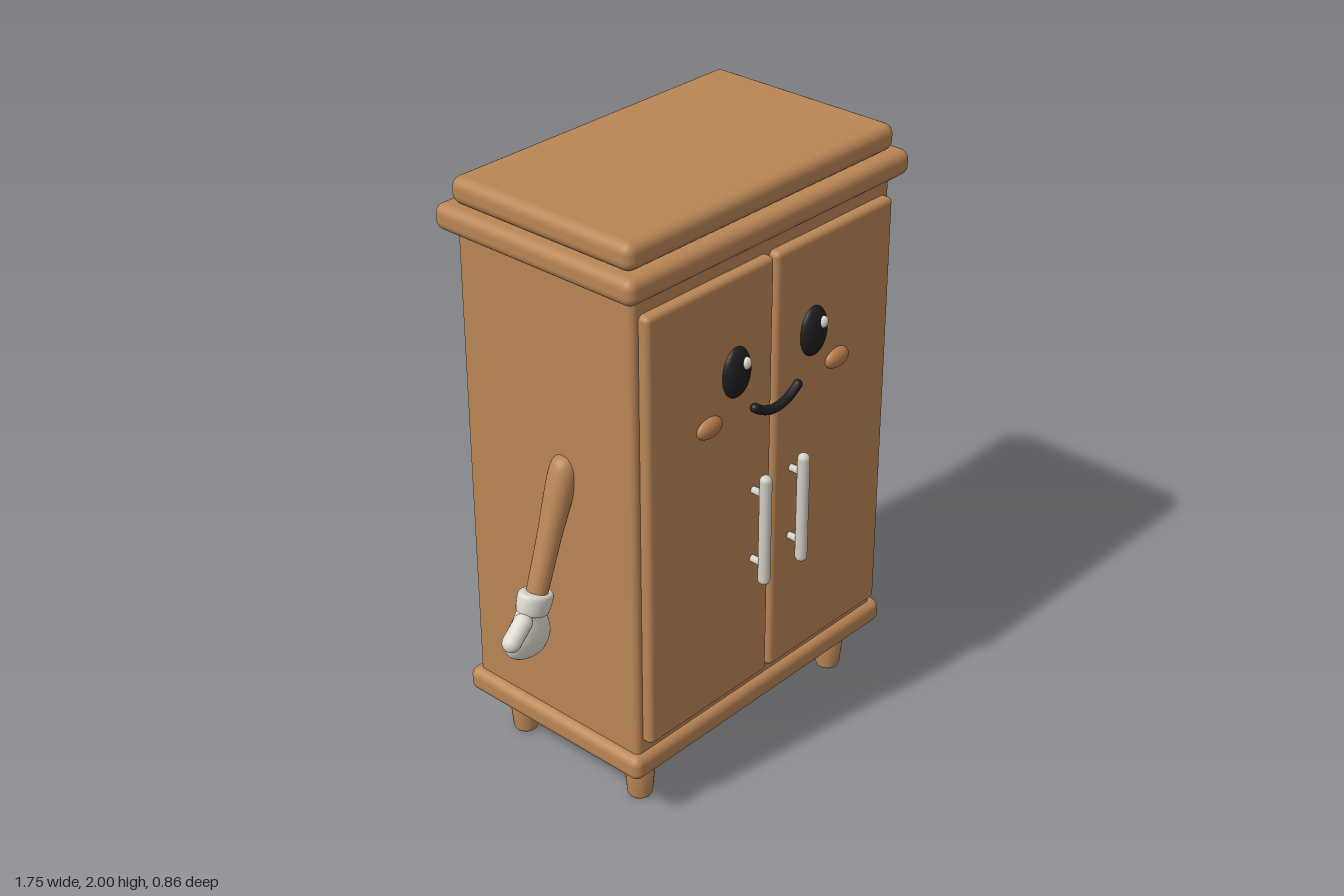
import * as THREE from 'three';
import { RoundedBoxGeometry } from 'three/addons/geometries/RoundedBoxGeometry.js';

function material(name, color) {
  const m = new THREE.MeshStandardMaterial({ color });
  m.name = name;
  return m;
}

export function createModel() {
  const wood = material('wood', 0xb98555);
  const black = material('black', 0x1e1e20);
  const cheekTone = material('cheek', 0xb97f4d);
  const metal = material('handleMetal', 0xd2cfc6);
  const glove = material('glove', 0xdedad0);

  const model = new THREE.Group();
  model.name = 'wardrobe';

  const add = (name, geometry, mat, x, y, z, parent = model) => {
    const mesh = new THREE.Mesh(geometry, mat);
    mesh.name = name;
    mesh.position.set(x, y, z);
    parent.add(mesh);
    return mesh;
  };
  // Rounded box given by half width, bottom/top and back/front
  const box = (name, x, halfW, y0, y1, z0, z1, r) =>
    add(name, new RoundedBoxGeometry(halfW * 2, y1 - y0, z1 - z0, 4, r), wood,
      x, (y0 + y1) / 2, (z0 + z1) / 2);
  const ellipsoid = (name, mat, x, y, z, rx, ry, rz, parent) => {
    const mesh = add(name, new THREE.SphereGeometry(1, 32, 20), mat, x, y, z, parent);
    mesh.scale.set(rx, ry, rz);
    return mesh;
  };
  // Smooth lathe, points run from bottom to top
  const lathe = (points, steps = 32) => {
    const curve = new THREE.CatmullRomCurve3(
      points.map(([r, y]) => new THREE.Vector3(r, y, 0)), false, 'centripetal');
    return new THREE.LatheGeometry(
      curve.getPoints(steps).map(p => new THREE.Vector2(Math.max(0, p.x), p.y)), 28);
  };

  // Carcass and mouldings
  box('body', 0, 0.58, 0.2, 1.87, -0.383, 0.325, 0.02);
  box('cornice', 0, 0.63, 1.83, 1.915, -0.43, 0.367, 0.032);
  box('topPanel', 0, 0.595, 1.912, 2, -0.393, 0.33, 0.034);
  box('basePlinth', 0, 0.61, 0.17, 0.255, -0.408, 0.35, 0.03);

  // Tapered feet
  const legGeometry = new THREE.LatheGeometry(
    [[0, 0], [0.03, 0], [0.037, 0.003], [0.041, 0.012], [0.057, 0.18], [0, 0.18]]
      .map(([r, y]) => new THREE.Vector2(r, y)), 28);
  for (const x of [-0.475, 0.475])
    for (const z of [-0.287, 0.233]) add('leg', legGeometry, wood, x, 0, z);

  // Face centre line: the smile
  const smile = new THREE.QuadraticBezierCurve3(
    new THREE.Vector3(-0.1, 1.31, 0.37),
    new THREE.Vector3(0, 1.232, 0.37),
    new THREE.Vector3(0.1, 1.31, 0.37));
  add('mouth', new THREE.TubeGeometry(smile, 32, 0.015, 12), black, 0, 0, 0);
  for (const x of [-0.1, 0.1]) ellipsoid('mouthEnd', black, x, 1.31, 0.37, 0.015, 0.015, 0.015);

  const armGeometry = lathe([
    [0.033, -0.44], [0.035, -0.36], [0.038, -0.22], [0.045, -0.08], [0.046, -0.01],
    [0.04, 0.022], [0.025, 0.04], [0, 0.047]]);
  const cuffGeometry = lathe([
    [0, -0.036], [0.045, -0.036], [0.056, -0.03], [0.06, -0.018], [0.063, 0.02],
    [0.06, 0.032], [0.05, 0.037], [0, 0.037]], 48);
  const palmGeometry = lathe([
    [0, -0.16], [0.04, -0.154], [0.073, -0.135], [0.09, -0.095], [0.085, -0.06],
    [0.066, -0.02], [0.05, 0.015], [0, 0.02]], 40);

  for (const s of [-1, 1]) {
    // Door with bar handle
    box('door', s * 0.281, 0.275, 0.295, 1.777, 0.29, 0.36, 0.018);
    add('handleBar', new THREE.CapsuleGeometry(0.02, 0.355, 8, 20), metal, s * 0.09, 0.888, 0.41);
    for (const y of [0.765, 1.015]) {
      const post = add('handlePost', new THREE.CylinderGeometry(0.012, 0.012, 0.06, 16), metal,
        s * 0.09, y, 0.38);
      post.rotation.x = Math.PI / 2;
    }

    // Eye, glint and cheek
    ellipsoid('eye', black, s * 0.178, 1.46, 0.36, 0.06, 0.084, 0.031);
    ellipsoid('eyeGlint', glove, s * 0.178 + 0.018, 1.492, 0.386, 0.017, 0.02, 0.014);
    ellipsoid('cheek', cheekTone, s * 0.297, 1.322, 0.36, 0.054, 0.034, 0.026);

    // Arm with mitten hand
    const arm = new THREE.Group();
    arm.name = s > 0 ? 'leftArm' : 'rightArm';
    model.add(arm);
    add('sleeve', armGeometry, wood, s * 0.575, 1.175, 0.033, arm).rotation.z = s * 0.333;
    const cuff = add('cuff', cuffGeometry, glove, s * 0.718, 0.766, 0.032, arm);
    cuff.rotation.z = s * 0.31;
    cuff.scale.z = 0.77;
    const palm = add('palm', palmGeometry, glove, s * 0.73, 0.74, 0.027, arm);
    palm.rotation.z = s * 0.2;
    palm.scale.z = 0.46;
    const thumb = add('thumb', new THREE.CapsuleGeometry(0.03, 0.075, 8, 20), glove,
      s * 0.812, 0.713, 0.053, arm);
    thumb.quaternion.setFromUnitVectors(new THREE.Vector3(0, 1, 0),
      new THREE.Vector3(s * 0.85, -0.46, 0.2).normalize());
  }
  return model;
}
